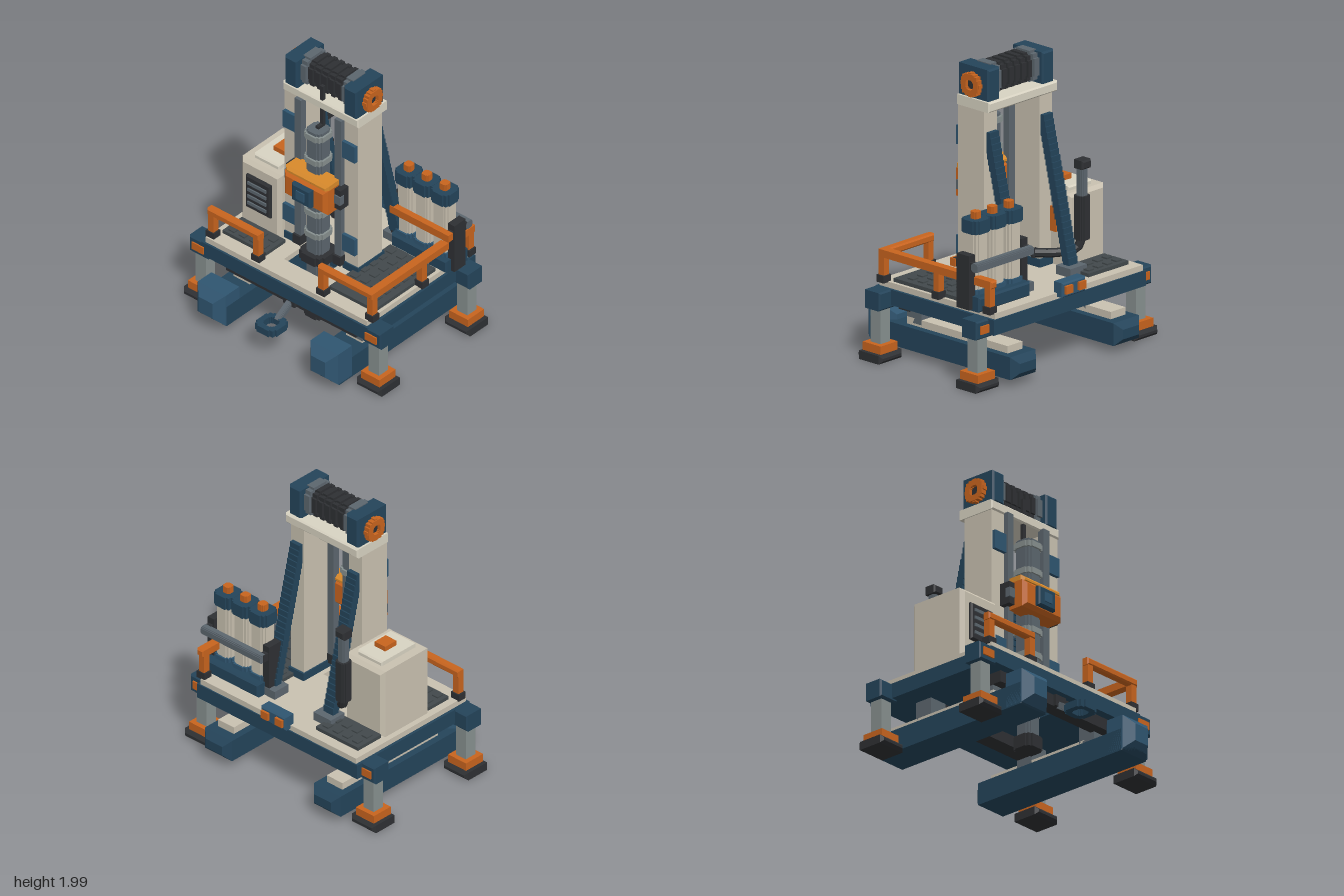
import * as THREE from 'three';

const mat = (color) => new THREE.MeshStandardMaterial({ color, flatShading: true });
const M = {
  cream: mat(0xc9c1b0), pale: mat(0xd8d3c2), blue: mat(0x24445a), steel: mat(0x2f5570), orange: mat(0xc8641e),
  amber: mat(0xd98a2b), dark: mat(0x2e3033), pad: mat(0x42494c), grey: mat(0x5c666e), light: mat(0x87908f),
};

export function createModel() {
  const root = new THREE.Group();
  const add = (name, geo, m) => {
    const mesh = new THREE.Mesh(geo, M[m]);
    mesh.name = name;
    root.add(mesh);
    return mesh;
  };
  // Box from its limits on each axis
  const box = (name, m, x0, x1, y0, y1, z0, z1) => {
    const mesh = add(name, new THREE.BoxGeometry(Math.abs(x1 - x0), y1 - y0, Math.abs(z1 - z0)), m);
    mesh.position.set((x0 + x1) / 2, (y0 + y1) / 2, (z0 + z1) / 2);
    return mesh;
  };
  // Circle outline made of square steps
  const steps = (path, r, n = 16) => {
    const d = (Math.PI * 2) / n, pts = [];
    for (let i = 0; i < n; i++) {
      const a = (i + 0.5) * d, b = a + d, mid = a + d / 2;
      const ax = r * Math.cos(a), ay = r * Math.sin(a), bx = r * Math.cos(b), by = r * Math.sin(b);
      pts.push(new THREE.Vector2(ax, ay));
      if ((i + 1) % (n / 4)) {
        const odd = Math.floor(mid / (Math.PI / 2)) % 2;
        pts.push(odd ? new THREE.Vector2(bx, ay) : new THREE.Vector2(ax, by));
      }
    }
    return path.setFromPoints(pts);
  };
  // Stepped cylinder along an axis, with an optional hole
  const disc = (name, m, axis, r, len, x, y, z, hole = 0) => {
    const s = steps(new THREE.Shape(), r);
    if (hole) s.holes.push(steps(new THREE.Path(), hole));
    const g = new THREE.ExtrudeGeometry(s, { depth: len, bevelEnabled: false }).translate(0, 0, -len / 2);
    if (axis === 'y') g.rotateX(-Math.PI / 2);
    if (axis === 'x') g.rotateY(Math.PI / 2);
    const mesh = add(name, g, m);
    mesh.position.set(x, y, z);
    return mesh;
  };
  const pipe = (name, m, r, y0, y1, x, z) => disc(name, m, 'y', r, y1 - y0, x, (y0 + y1) / 2, z);
  // Block with chamfered corners all round
  const chamfer = (name, m, x0, x1, y0, y1, z0, z1, c) => {
    const w = (x1 - x0) / 2 - c, h = (y1 - y0) / 2 - c;
    const s = new THREE.Shape([[-w, -h], [w, -h], [w, h], [-w, h]].map((p) => new THREE.Vector2(...p)));
    const depth = z1 - z0 - 2 * c;
    const g = new THREE.ExtrudeGeometry(s, { depth, bevelSize: c, bevelThickness: c, bevelSegments: 1 });
    const mesh = add(name, g.translate(0, 0, -depth / 2), m);
    mesh.position.set((x0 + x1) / 2, (y0 + y1) / 2, (z0 + z1) / 2);
    return mesh;
  };
  // Horizontal slab with a rectangular well opening
  const slab = (name, m, x, z0, z1, y0, y1) => {
    const rect = (P, a, b, c) => new P([[-a, -c], [a, -c], [a, -b], [-a, -b]].map((p) => new THREE.Vector2(...p)));
    const s = rect(THREE.Shape, x, z0, z1);
    s.holes.push(rect(THREE.Path, 0.155, 0.0, 0.29));
    const g = new THREE.ExtrudeGeometry(s, { depth: y1 - y0, bevelEnabled: false });
    add(name, g.rotateX(-Math.PI / 2), m).position.y = y0;
  };

  // Deck and frame
  slab('frame', 'blue', 0.715, -0.6, 0.46, 0.37, 0.475);
  slab('deck', 'cream', 0.695, -0.59, 0.445, 0.475, 0.515);
  box('frontCrossBeam', 'dark', -0.56, 0.56, 0.29, 0.37, 0.3, 0.4);
  box('rearCrossBeam', 'dark', -0.54, 0.54, 0.29, 0.37, -0.34, -0.22);

  // Tracks and outriggers
  for (const s of [-1, 1]) {
    const x = s * 0.485;
    chamfer('track', 'blue', x - 0.12, x + 0.12, 0.05, 0.205, -0.685, 0.66, 0.045);
    chamfer('trackNose', 'steel', x - 0.12, x + 0.12, 0.06, 0.3, 0.43, 0.685, 0.06);
    box('trackTop', 'cream', x - 0.07, x + 0.07, 0.2, 0.255, -0.57, 0.33);
    for (const z of [0.265, -0.28]) box('trackMount', 'grey', x - 0.07, x + 0.07, 0.22, 0.37, z - 0.065, z + 0.065);
    for (const z of [0.39, -0.48]) {
      const ox = s * 0.745, f = Math.sign(z);
      chamfer('cornerBlock', 'blue', ox - 0.08, ox + 0.08, 0.35, 0.475, z - 0.07, z + 0.07, 0.01);
      box('cornerLamp', 'orange', ox - 0.05, ox + 0.05, 0.385, 0.44, z + f * 0.06, z + f * 0.08);
      box('outriggerLeg', 'light', ox - 0.045, ox + 0.045, 0.1, 0.36, z - 0.045, z + 0.045);
      box('outriggerFoot', 'orange', ox - 0.08, ox + 0.08, 0.055, 0.115, z - 0.08, z + 0.08);
      chamfer('outriggerPad', 'dark', ox - 0.108, ox + 0.108, 0, 0.058, z - 0.108, z + 0.108, 0.02);
    }
  }

  // Studded floor plates
  const plate = (x0, x1, z0, z1) => {
    box('floorPlate', 'pad', x0, x1, 0.51, 0.54, z0, z1);
    for (let x = x0 + 0.055; x < x1 - 0.03; x += 0.088)
      for (let z = z0 + 0.055; z < z1 - 0.03; z += 0.088)
        box('floorStud', 'pad', x - 0.025, x + 0.025, 0.535, 0.55, z - 0.025, z + 0.025);
  };
  plate(-0.64, -0.265, -0.515, -0.295);
  plate(-0.64, -0.265, 0.15, 0.34);
  plate(0.28, 0.67, -0.26, 0.34);

  // Railings
  const post = (x, z) => {
    box('railPost', 'orange', x - 0.024, x + 0.024, 0.53, 0.72, z - 0.024, z + 0.024);
    box('railFoot', 'dark', x - 0.035, x + 0.035, 0.51, 0.56, z - 0.032, z + 0.032);
  };
  for (const [x, z] of [[-0.67, 0.4], [-0.28, 0.4], [0.28, 0.4], [0.7, 0.4], [0.7, -0.09], [0.7, -0.55]]) post(x, z);
  chamfer('leftRail', 'orange', -0.7, -0.25, 0.685, 0.737, 0.37, 0.43, 0.01);
  chamfer('rightRail', 'orange', 0.25, 0.73, 0.685, 0.737, 0.37, 0.43, 0.01);
  chamfer('sideRail', 'orange', 0.67, 0.73, 0.685, 0.737, -0.59, 0.43, 0.01);

  // Mast
  for (const s of [-1, 1]) {
    box('mastLeg', 'cream', s * 0.2, s * 0.318, 0.51, 1.71, -0.135, 0.1);
    box('mastFoot', 'blue', s * 0.19, s * 0.325, 0.51, 0.57, -0.15, 0.11);
    for (const y of [0.735, 1.485]) box('mastBand', 'steel', s * 0.2, s * 0.31, y - 0.065, y + 0.065, 0.08, 0.125);
    box('guideRail', 'grey', s * 0.145, s * 0.2, 0.56, 1.71, 0.085, 0.135);
    box('guideStop', 'dark', s * 0.14, s * 0.205, 0.55, 0.62, 0.08, 0.15);
    // Rear brace as a run of short blocks
    for (let i = 0; i < 25; i++) {
      const t = i / 24, y = 1.52 - t * 0.93, z = -0.14 - t * 0.22;
      box('braceBlock', 'blue', s * 0.255 - 0.042, s * 0.255 + 0.042, y - 0.034, y + 0.034, z - 0.026, z + 0.026);
    }
    box('braceFoot', 'grey', s * 0.25 - 0.078, s * 0.25 + 0.078, 0.515, 0.575, -0.44, -0.31);
    // Winch sides
    chamfer('winchCheek', 'blue', s * 0.255 - 0.055, s * 0.255 + 0.055, 1.76, 1.985, -0.165, 0.11, 0.012);
    disc('drumFlange', 'grey', 'x', 0.108, 0.06, s * 0.185, 1.885, -0.03);
    disc('winchHub', 'orange', 'x', 0.075, 0.045, s * 0.328, 1.865, -0.03, 0.034);
    disc('hubCore', 'dark', 'x', 0.034, 0.02, s * 0.315, 1.865, -0.03);
    for (let k = 0; k < 8; k++) {
      const a = (k * Math.PI) / 4, y = 1.865 + 0.07 * Math.sin(a), z = -0.03 + 0.07 * Math.cos(a);
      box('hubTooth', 'orange', s * 0.31, s * 0.345, y - 0.013, y + 0.013, z - 0.013, z + 0.013);
    }
  }
  chamfer('mastCap', 'pale', -0.325, 0.325, 1.7, 1.77, -0.185, 0.11, 0.01);
  disc('winchDrum', 'dark', 'x', 0.085, 0.36, 0, 1.885, -0.03);
  for (let i = 0; i < 5; i++) disc('cableCoil', 'dark', 'x', 0.102, 0.034, -0.12 + i * 0.06, 1.885, -0.03);
  box('cable', 'dark', -0.013, 0.013, 1.54, 1.88, 0.075, 0.1);
  box('cableAnchor', 'dark', -0.013, 0.013, 1.54, 1.58, 0.08, 0.14);

  // Drill string
  pipe('drillPipe', 'grey', 0.066, 0.3, 1.56, 0, 0.13);
  for (const y of [0.735, 0.91, 1.33, 1.52]) pipe('pipeCollar', 'light', 0.08, y - 0.02, y + 0.02, 0, 0.13);
  pipe('pipeClamp', 'dark', 0.105, 0.52, 0.585, 0, 0.13);
  pipe('drillStem', 'grey', 0.06, 0.16, 0.34, 0, 0.13);
  pipe('drillBit', 'dark', 0.08, 0.07, 0.16, 0, 0.13);

  // Drill head
  chamfer('drillHead', 'orange', -0.185, 0.185, 1.01, 1.2, 0.1, 0.27, 0.025);
  chamfer('drillHeadTop', 'amber', -0.185, 0.185, 1.18, 1.235, 0.1, 0.255, 0.02);
  chamfer('drillHeadFace', 'blue', -0.08, 0.08, 1.04, 1.175, 0.25, 0.305, 0.01);
  box('drillHeadBoss', 'steel', -0.035, 0.035, 1.075, 1.14, 0.3, 0.313);
  for (const s of [-1, 1]) {
    box('headSlider', 'dark', s * 0.17, s * 0.235, 1.035, 1.19, 0.1, 0.18);
    box('sliderPin', 'grey', s * 0.19, s * 0.24, 1.08, 1.145, 0.15, 0.19);
  }

  // Engine cabinet and exhaust
  chamfer('cabinet', 'cream', -0.655, -0.312, 0.51, 1.015, -0.295, 0.15, 0.025);
  chamfer('cabinetLid', 'pale', -0.59, -0.37, 1.0, 1.045, -0.235, 0.09, 0.01);
  box('cabinetButton', 'orange', -0.515, -0.42, 1.04, 1.08, -0.125, -0.02);
  box('cabinetPanel', 'orange', -0.32, -0.302, 0.74, 0.91, -0.185, -0.05);
  chamfer('grille', 'dark', -0.59, -0.38, 0.66, 0.92, 0.14, 0.175, 0.01);
  for (let i = 0; i < 4; i++) box('grilleSlat', 'grey', -0.565, -0.405, 0.7 + i * 0.053, 0.722 + i * 0.053, 0.17, 0.185);
  pipe('muffler', 'dark', 0.045, 0.72, 1.02, -0.365, -0.36);
  pipe('exhaustPipe', 'grey', 0.03, 1.0, 1.22, -0.365, -0.36);
  chamfer('exhaustCap', 'dark', -0.41, -0.325, 1.205, 1.265, -0.405, -0.315, 0.01);
  const hose = new THREE.CatmullRomCurve3([[-0.365, 0.74, -0.36], [-0.34, 0.66, -0.34], [-0.22, 0.64, -0.27], [-0.12, 0.64, -0.17]].map((p) => new THREE.Vector3(...p)));
  add('hose', new THREE.TubeGeometry(hose, 10, 0.03, 8), 'dark');
  disc('hoseEnd', 'dark', 'z', 0.032, 0.02, -0.12, 0.64, -0.17);

  // Gas bottle rack
  chamfer('rackBase', 'blue', 0.265, 0.745, 0.51, 0.61, -0.5, -0.28, 0.012);
  for (const x of [0.34, 0.495, 0.65]) {
    pipe('bottleSeat', 'steel', 0.075, 0.6, 0.64, x, -0.375);
    pipe('bottle', 'cream', 0.062, 0.62, 1.04, x, -0.375);
    pipe('bottleCollar', 'blue', 0.078, 1.02, 1.11, x, -0.375);
    pipe('bottleCap', 'orange', 0.03, 1.1, 1.158, x, -0.375);
  }
  box('rackStrap', 'orange', 0.27, 0.775, 0.79, 0.845, -0.31, -0.265);
  disc('rackBar', 'grey', 'x', 0.03, 0.53, 0.505, 0.817, -0.478);
  for (const x of [0.255, 0.748]) box('rackPost', 'dark', x - 0.028, x + 0.028, 0.52, 0.89, -0.435, -0.325);
  for (const x of [0.255, 0.748]) box('rackBracket', 'dark', x - 0.02, x + 0.02, 0.79, 0.845, -0.48, -0.28);

  // Rear lamp box
  chamfer('rearLampBox', 'steel', -0.11, 0.11, 0.49, 0.59, -0.64, -0.55, 0.01);
  for (const s of [-1, 1]) box('rearLamp', 'orange', s * 0.03, s * 0.095, 0.515, 0.57, -0.658, -0.63);

  // Towing ring
  const bar = disc('towBar', 'grey', 'z', 0.024, 0.2, 0, 0.28, 0.45);
  bar.rotation.x = 0.55;
  disc('towRing', 'blue', 'y', 0.09, 0.05, 0, 0.225, 0.59, 0.048);
  box('towMount', 'dark', -0.05, 0.05, 0.29, 0.37, 0.36, 0.42);

  return root;
}
